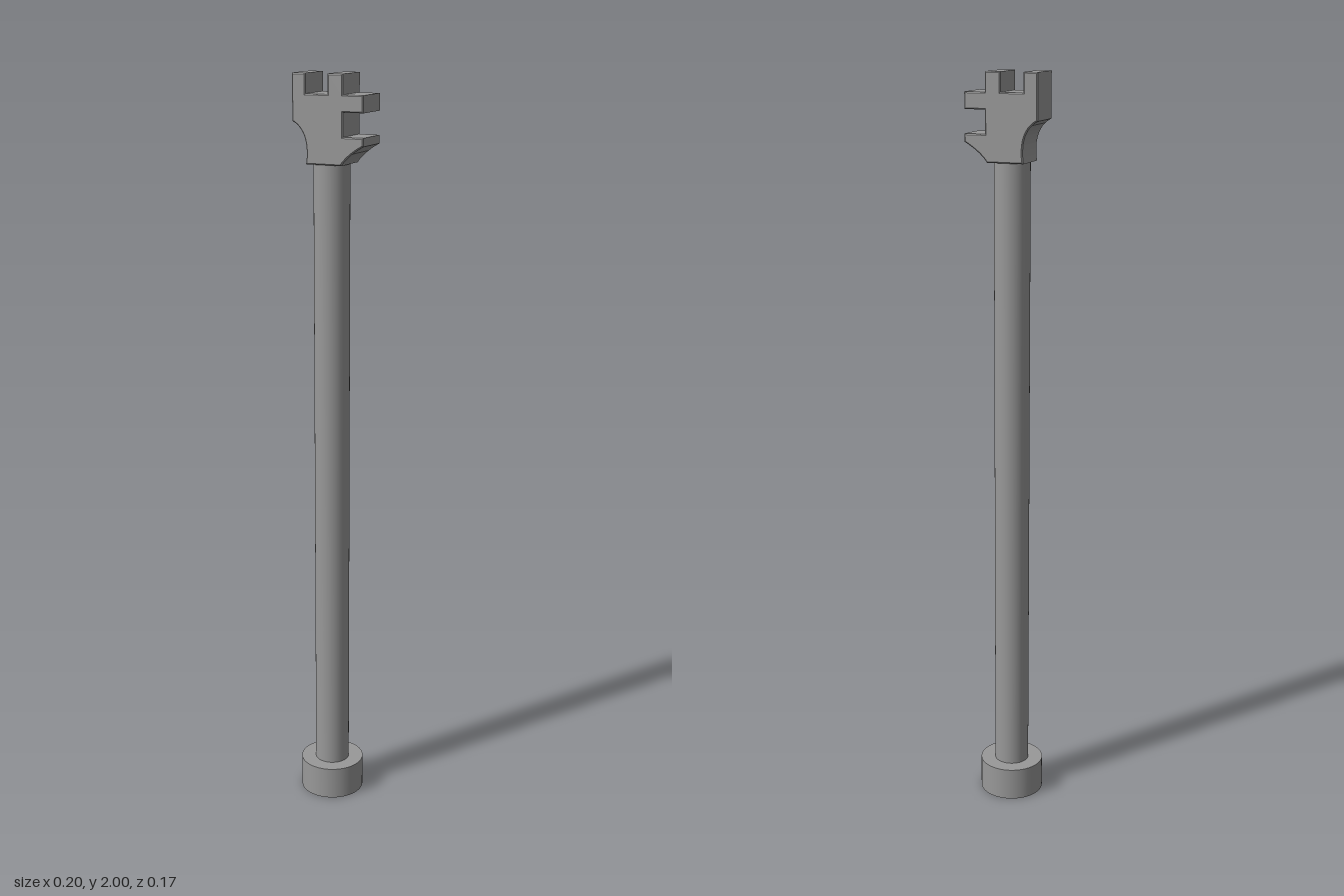
import * as THREE from 'three';

export function createModel() {
  const model = new THREE.Group();
  const steel = new THREE.MeshStandardMaterial({ color: 0x999999 });
  steel.name = 'grey steel';
  const axisX = -0.012;

  const add = (name, geometry, x, y, z) => {
    const mesh = new THREE.Mesh(geometry, steel);
    mesh.name = name;
    mesh.position.set(x, y, z);
    model.add(mesh);
  };

  // Round foot and long shaft
  add('foot', new THREE.CylinderGeometry(0.087, 0.087, 0.09, 48), axisX, 0.045, -0.001);
  add('shaft', new THREE.CylinderGeometry(0.047, 0.047, 1.70, 40), axisX, 0.93, -0.001);

  // Notched head: two upright teeth, two sideways teeth, scooped neck
  const s = new THREE.Shape();
  s.moveTo(-0.061, 1.776);
  s.lineTo(0.037, 1.776);
  s.quadraticCurveTo(0.056, 1.803, 0.098, 1.826);
  for (const [x, y] of [
    [0.098, 1.847], [0.042, 1.847], [0.042, 1.907], [0.098, 1.907],
    [0.098, 1.95], [0.042, 1.95], [0.042, 2], [0, 2],
    [0, 1.95], [-0.061, 1.95], [-0.061, 2], [-0.099, 2], [-0.099, 1.882],
  ]) s.lineTo(x, y);
  s.bezierCurveTo(-0.07, 1.868, -0.052, 1.835, -0.061, 1.776);

  const bevel = 0.003;
  const head = new THREE.ExtrudeGeometry(s, {
    depth: 0.104 - 2 * bevel, curveSegments: 10,
    bevelEnabled: true, bevelSize: bevel, bevelThickness: bevel,
    bevelOffset: -bevel, bevelSegments: 1,
  });
  add('notchedHead', head, 0, 0, -0.0535 + bevel);

  return model;
}
